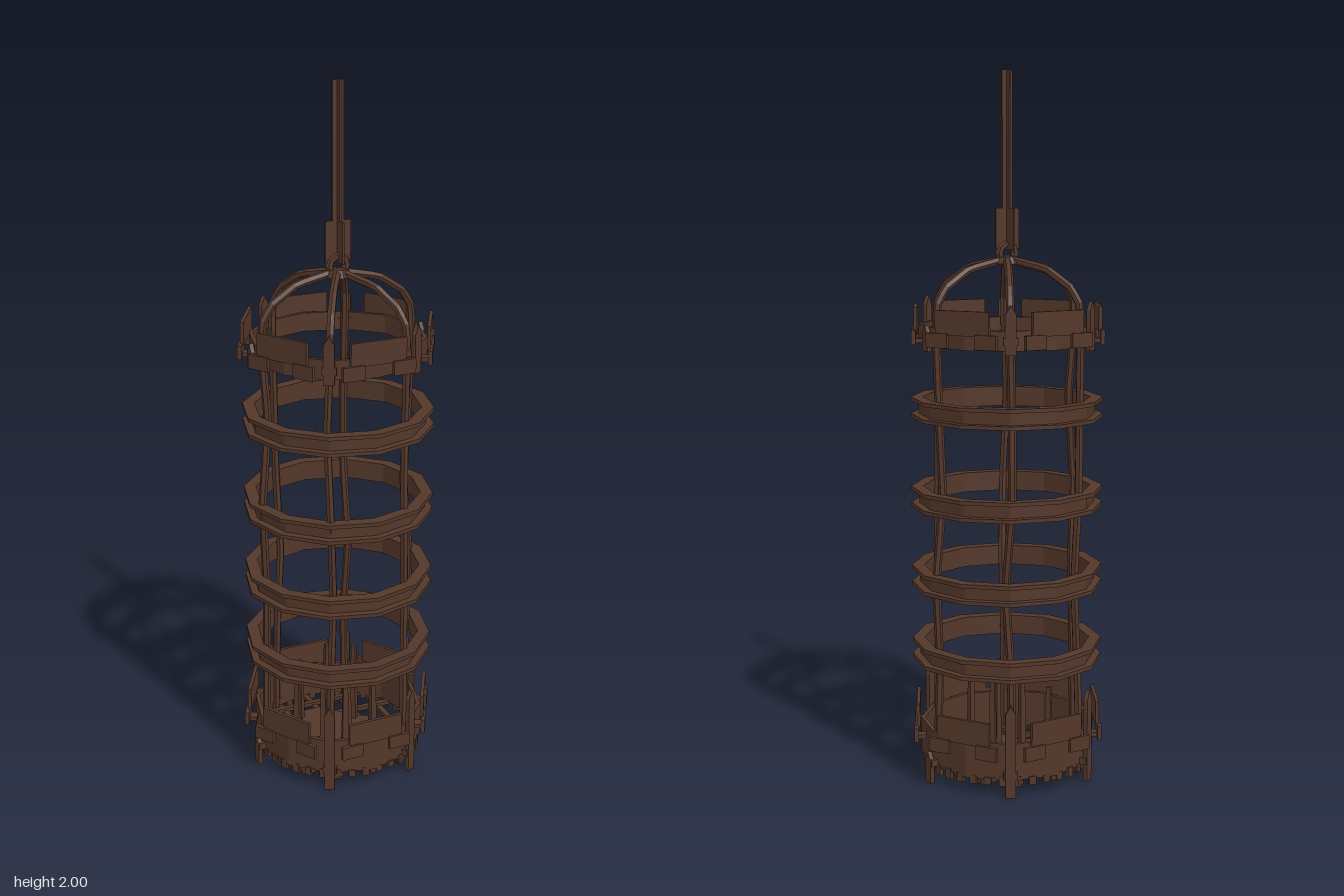
import * as THREE from 'three';

export function createModel() {
  const cage = new THREE.Group();
  cage.name = 'hangingCage';
  const iron = new THREE.MeshStandardMaterial({ color: 0x53372a, flatShading: true, side: THREE.DoubleSide });
  iron.name = 'rusted iron';

  let seed = 7;
  const rand = () => ((seed = (seed * 16807) % 2147483647) / 2147483647) - 0.5;

  const add = (geo, name, x = 0, y = 0, z = 0, parent = cage) => {
    const m = new THREE.Mesh(geo, iron);
    m.name = name;
    m.position.set(x, y, z);
    parent.add(m);
    return m;
  };
  const box = (w, h, d, name, x, y, z, parent) => add(new THREE.BoxGeometry(w, h, d), name, x, y, z, parent);
  // Group whose local +z points outward at the given angle from +z
  const spoke = (deg, name) => {
    const g = new THREE.Group();
    g.name = name;
    g.rotation.y = THREE.MathUtils.degToRad(deg);
    cage.add(g);
    return g;
  };
  const ring = (points, name, y) =>
    add(new THREE.LatheGeometry(points.map(([r, h]) => new THREE.Vector2(r, h)), 12), name, 0, y, 0);

  // Channel-section hoops, each very slightly tilted
  const channel = [[0.238, -0.029], [0.273, -0.029], [0.273, -0.018], [0.251, -0.018],
    [0.251, 0.018], [0.273, 0.018], [0.273, 0.029], [0.238, 0.029], [0.238, -0.029]];
  [0.36, 0.577, 0.807, 1.063].forEach((y) => {
    const hoop = ring(channel, 'hoop', y);
    hoop.rotation.set(rand() * 0.012, 0, rand() * 0.012);
  });

  // Wide bands at top and bottom
  const band = (lo, hi, name) =>
    ring([[0.238, lo], [0.25, lo], [0.25, hi], [0.238, hi], [0.238, lo]], name, 0);
  band(0.045, 0.15, 'bottomBand');
  band(1.245, 1.3, 'topBand');

  // Raised plates standing off the bands, held by small brackets
  for (let i = 0; i < 6; i++) {
    const g = spoke(i * 60, 'bandPlates');
    [[0.11, 0.215], [1.25, 1.352]].forEach(([lo, hi]) => {
      box(0.165, hi - lo - 0.035, 0.01, 'raisedPlate', 0, (lo + hi + 0.035) / 2, 0.257, g);
      [-1, 1].forEach((s) => {
        box(0.065, 0.04, 0.012, 'bracketFace', s * 0.075, lo + 0.02, 0.262, g);
        box(0.03, 0.012, 0.03, 'bracketArm', s * 0.075, lo + 0.01, 0.25, g);
      });
    });
  }

  // Crooked bars that bend inward into the dome
  for (let i = 0; i < 6; i++) {
    const a = THREE.MathUtils.degToRad(30 + i * 60);
    const at = (r, y, w = 0) => new THREE.Vector3(
      Math.sin(a) * r + rand() * w, y, Math.cos(a) * r + rand() * w);
    const path = new THREE.CurvePath();
    const pts = [at(0.236, 0.03), at(0.228, 0.33, 0.02), at(0.226, 0.58, 0.035), at(0.228, 0.83, 0.035),
      at(0.228, 1.08, 0.025), at(0.23, 1.3), at(0.226, 1.36), at(0.2, 1.405), at(0.125, 1.455), at(0, 1.482)];
    for (let k = 1; k < pts.length; k++) path.add(new THREE.LineCurve3(pts[k - 1], pts[k]));
    add(new THREE.TubeGeometry(path, 60, 0.0115, 6), 'cageBar');
  }

  // Pointed straps outside the bars
  const strap = (lo, hi, g) => {
    const w = 0.015;
    const s = new THREE.Shape([[-w, lo], [w, lo], [w, hi - 0.025], [0, hi], [-w, hi - 0.025]]
      .map(([x, y]) => new THREE.Vector2(x, y)));
    add(new THREE.ExtrudeGeometry(s, { depth: 0.012, bevelEnabled: false }), 'strap', 0, 0, 0.254, g);
  };
  for (let i = 0; i < 6; i++) {
    const g = spoke(30 + i * 60, 'barStraps');
    const side = i % 3 === 1;
    strap(0, side ? 0.09 : 0.265, g);
    strap(1.235, side ? 1.305 : 1.37, g);
    box(0.04, 0.02, 0.034, 'barFoot', 0, 0.06, 0.247, g);
    box(0.04, 0.02, 0.034, 'barClamp', 0, 1.272, 0.247, g);
  }

  // Floor lattice, sagging a little
  const chord = (p) => 2 * Math.sqrt(0.245 ** 2 - p * p);
  [-0.18, -0.092, 0.082, 0.176].forEach((z) => {
    box(chord(z), 0.012, 0.016, 'floorBarAcross', 0, 0.045, z).rotation.y = rand() * 0.05;
  });
  [-0.18, -0.096, 0, 0.096, 0.18].forEach((x) => {
    box(0.016, 0.012, chord(x), 'floorBarAlong', x, 0.037, 0).rotation.y = rand() * 0.03;
  });
  // Ragged teeth below the bottom band
  for (let i = 0; i < 36; i++) {
    const g = spoke(i * 10 + 5, 'bandTooth');
    box(0.02, 0.024 + rand() * 0.012, 0.012, 'tooth', 0, 0.04, 0.24, g);
  }

  // Broken floor plate
  const outline = [[-0.155, -0.08], [-0.12, -0.12], [-0.06, -0.135], [0, -0.135], [0.03, -0.1], [0.08, -0.04],
    [0.12, -0.02], [0.14, 0.08], [0.11, 0.115], [0.05, 0.13], [-0.01, 0.14], [-0.08, 0.07],
    [-0.07, 0.03], [-0.13, 0.02], [-0.13, -0.04]].map(([x, z]) => new THREE.Vector2(x, -z));
  const plate = new THREE.ExtrudeGeometry(new THREE.Shape(outline), { depth: 0.028, bevelEnabled: false });
  plate.rotateX(-Math.PI / 2);
  add(plate, 'floorPlate', 0, 0.026, 0);

  // Spikes rising from the plate
  [[0, -0.08, 0.3], [-0.11, -0.055, 0.22], [-0.07, 0.05, 0.25], [-0.01, 0.075, 0.29], [0.095, 0.045, 0.27],
    [0.07, -0.035, 0.3], [0.03, 0.005, 0.26], [-0.08, -0.1, 0.25]].forEach(([x, z, top]) => {
    const spike = add(new THREE.CylinderGeometry(0.009, 0.014, top - 0.05, 4), 'spike', x, (top + 0.05) / 2, z);
    spike.rotation.y = rand() * 2;
  });

  // Dome hub, hanging loop, link and long rod made of crossed plates
  add(new THREE.CylinderGeometry(0.03, 0.042, 0.02, 8), 'domeHub', 0, 1.478, 0);
  add(new THREE.TorusGeometry(0.026, 0.012, 6, 10), 'hangingLoop', 0, 1.497, 0);
  [0, Math.PI / 2].forEach((turn) => {
    box(0.076, 0.115, 0.006, 'chainLink', 0, 1.565, 0).rotation.y = turn;
    box(0.034, 0.4, 0.006, 'hangingRod', 0, 1.8, 0).rotation.y = turn;
  });

  return cage;
}
